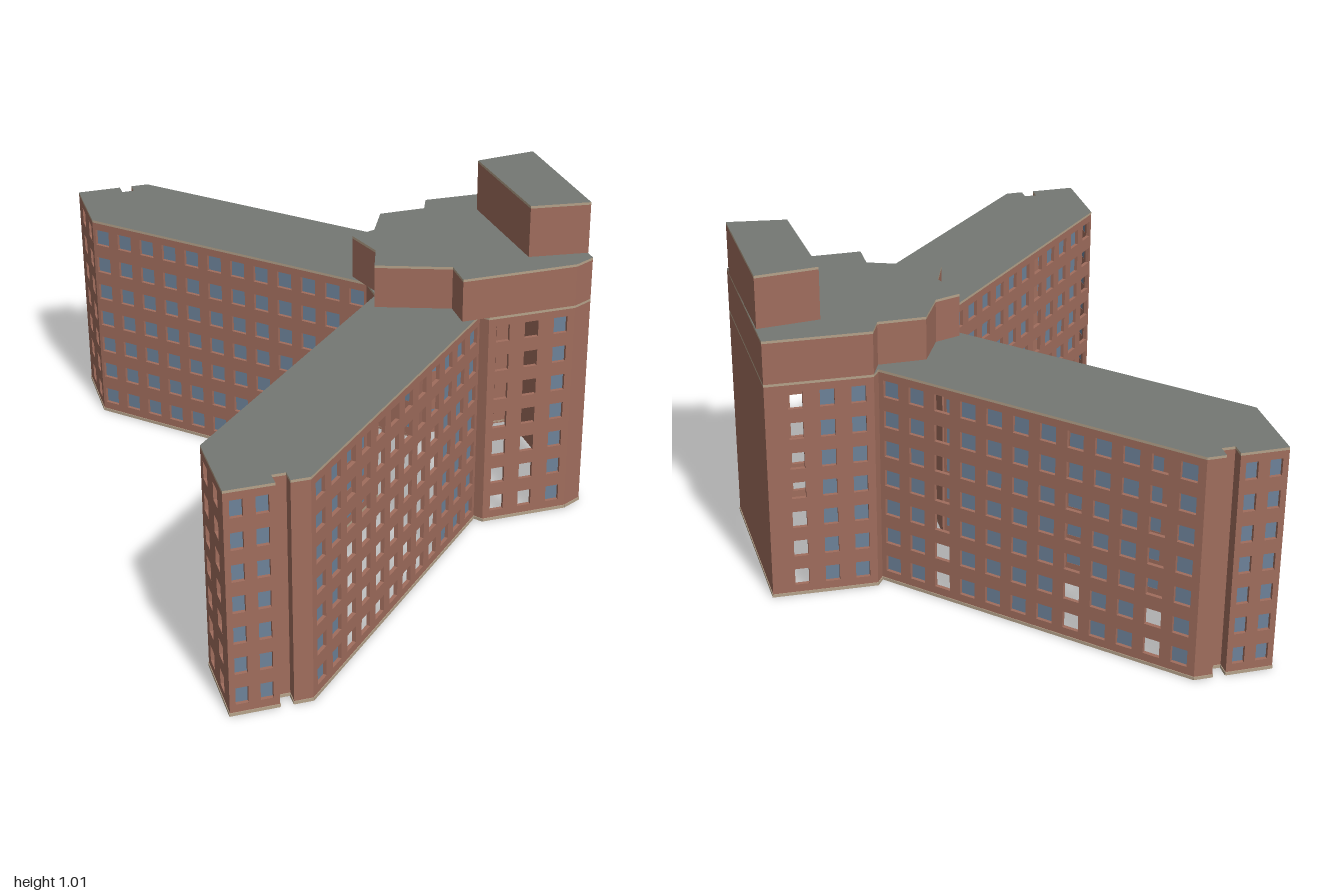
import * as THREE from 'three';
import { mergeGeometries } from 'three/addons/utils/BufferGeometryUtils.js';

const mat = (name, color) => new THREE.MeshStandardMaterial({ name, color, side: THREE.DoubleSide });
const H = 0.712, T = 0.012, ROWS = 7, R2 = Math.SQRT2;
const range = (n, f) => Array.from({ length: n }, (_, i) => f(i));

// Path around a window or wall rectangle
function rect(path, x0, y0, x1, y1) {
  path.moveTo(x0, y0);
  path.lineTo(x1, y0);
  path.lineTo(x1, y1);
  path.lineTo(x0, y1);
  path.closePath();
  return path;
}

export function createModel() {
  const brick = mat('brick', 0xa06d5d);
  const glass = mat('window glass', 0x6d8299);
  const roof = mat('roof grey', 0x747873);
  const trim = mat('stone trim', 0xb5a28a);
  const model = new THREE.Group();
  model.name = 'apartmentBuilding';

  const add = (parent, name, geo, m) => {
    const mesh = new THREE.Mesh(geo, m);
    mesh.name = name;
    parent.add(mesh);
    return mesh;
  };

  // Upright prism over an [x, z] outline
  function prism(name, pts, y0, y1, mats) {
    const shape = new THREE.Shape(pts.map(([x, z]) => new THREE.Vector2(x, -z)));
    const geo = new THREE.ExtrudeGeometry(shape, { depth: y1 - y0, bevelEnabled: false });
    geo.rotateX(-Math.PI / 2).translate(0, y0, 0);
    return add(model, name, geo, mats);
  }

  // Wall from a to b facing outwards; windows = { at, width, open } with open columns unglazed
  function wall(name, a, b, windows) {
    const dx = b[0] - a[0], dz = b[1] - a[1], len = Math.hypot(dx, dz);
    const group = new THREE.Group();
    group.name = name;
    group.position.set(a[0], 0, a[1]);
    group.rotation.y = Math.atan2(-dz, dx);
    const shape = rect(new THREE.Shape(), 0, 0, len, H - 0.008);
    const panes = [];
    if (windows) {
      const { at, width, open = [] } = windows;
      at.forEach((u, col) => {
        for (let r = 0; r < ROWS; r++) {
          const y = 0.062 + r * 0.0985, h = 0.054;
          shape.holes.push(rect(new THREE.Path(), u - width / 2, y - h / 2, u + width / 2, y + h / 2));
          if (!open.includes(col)) panes.push(new THREE.PlaneGeometry(width, h).translate(u, y, -T + 0.001));
        }
      });
    }
    const geo = new THREE.ExtrudeGeometry(shape, { depth: T, bevelEnabled: false }).translate(0, 0, -T);
    add(group, 'brickwork', geo, brick);
    if (panes.length) add(group, 'windowPanes', mergeGeometries(panes), glass);
    add(group, 'baseTrim', new THREE.BoxGeometry(len, 0.01, T + 0.002).translate(len / 2, 0.005, -T / 2 + 0.001), trim);
    model.add(group);
  }

  // Window columns on each kind of wall
  const outerAt = range(12, k => (0.035 + 0.061 * k) * R2);
  const innerAt = range(12, k => (0.025 + 0.0605 * k) * R2);
  const flip = (at, len) => at.map(u => len - u);
  const innerLen = 0.715 * R2, outerLen = 0.735 * R2;
  const endAt = [0.035, 0.105], sideAt = [0.05, 0.16];

  // Footprint corners, each with the wall that starts there
  const plan = [
    [-0.665, 0.76, 'frontWingSide', { at: sideAt, width: 0.046 }],
    [-0.665, 1, 'frontWingEnd', { at: endAt, width: 0.036 }],
    [-0.525, 1, 'frontNotchSide'],
    [-0.525, 0.96, 'frontNotchBack'],
    [-0.485, 0.96, 'frontNotchSide'],
    [-0.485, 1, 'frontWingPier'],
    [-0.43, 1, 'frontWingOuterWall', { at: outerAt, width: 0.051, open: range(7, i => i + 2) }],
    [0.305, 0.265, 'frontStep'],
    [0.325, 0.29, 'coreFront', { at: [0.045, 0.137, 0.23], width: 0.043, open: [0, 1] }],
    [0.6, 0.29, 'coreChamfer'],
    [0.662, 0.26, 'coreSide'],
    [0.645, -0.285, 'coreBack', { at: [0.09, 0.183, 0.275], width: 0.043, open: [0] }],
    [0.325, -0.295, 'backStep'],
    [0.305, -0.265, 'backWingOuterWall', { at: flip(outerAt, outerLen), width: 0.051, open: [1, 4, 9] }],
    [-0.43, -1, 'backWingPier'],
    [-0.485, -1, 'backNotchSide'],
    [-0.485, -0.96, 'backNotchBack'],
    [-0.525, -0.96, 'backNotchSide'],
    [-0.525, -1, 'backWingEnd', { at: flip(endAt, 0.14), width: 0.036 }],
    [-0.665, -1, 'backWingSide', { at: flip(sideAt, 0.24), width: 0.046 }],
    [-0.665, -0.76, 'backWingInnerWall', { at: innerAt, width: 0.051 }],
    [0.05, -0.045, 'innerCorner'],
    [0.05, 0.045, 'frontWingInnerWall', { at: flip(innerAt, innerLen), width: 0.051, open: [0, 4] }],
  ];
  plan.forEach((p, i) => wall(p[2], p, plan[(i + 1) % plan.length], p[3]));
  prism('mainRoof', plan, H - 0.008, H, [roof, trim]);

  // Set-back top storey over the core
  const storey = [
    [0.24, 0.29], [0.24, 0.2], [0.022, 0.12], [0.058, 0.02], [0.022, -0.1], [0.1, -0.125],
    [0.155, -0.235], [0.3, -0.235], [0.325, -0.295], [0.645, -0.285], [0.662, 0.26], [0.6, 0.29],
  ].reverse();
  prism('topStorey', storey, H, 0.841, brick);
  prism('topStoreyRoof', storey, 0.841, 0.849, [roof, trim]);

  // Plant room on top
  const plant = [[0.48, 0.2], [0.662, 0.225], [0.645, -0.198], [0.455, -0.178]];
  prism('plantRoom', plant, 0.849, 1.006, brick);
  prism('plantRoomRoof', plant, 1.006, 1.014, [roof, trim]);

  return model;
}
